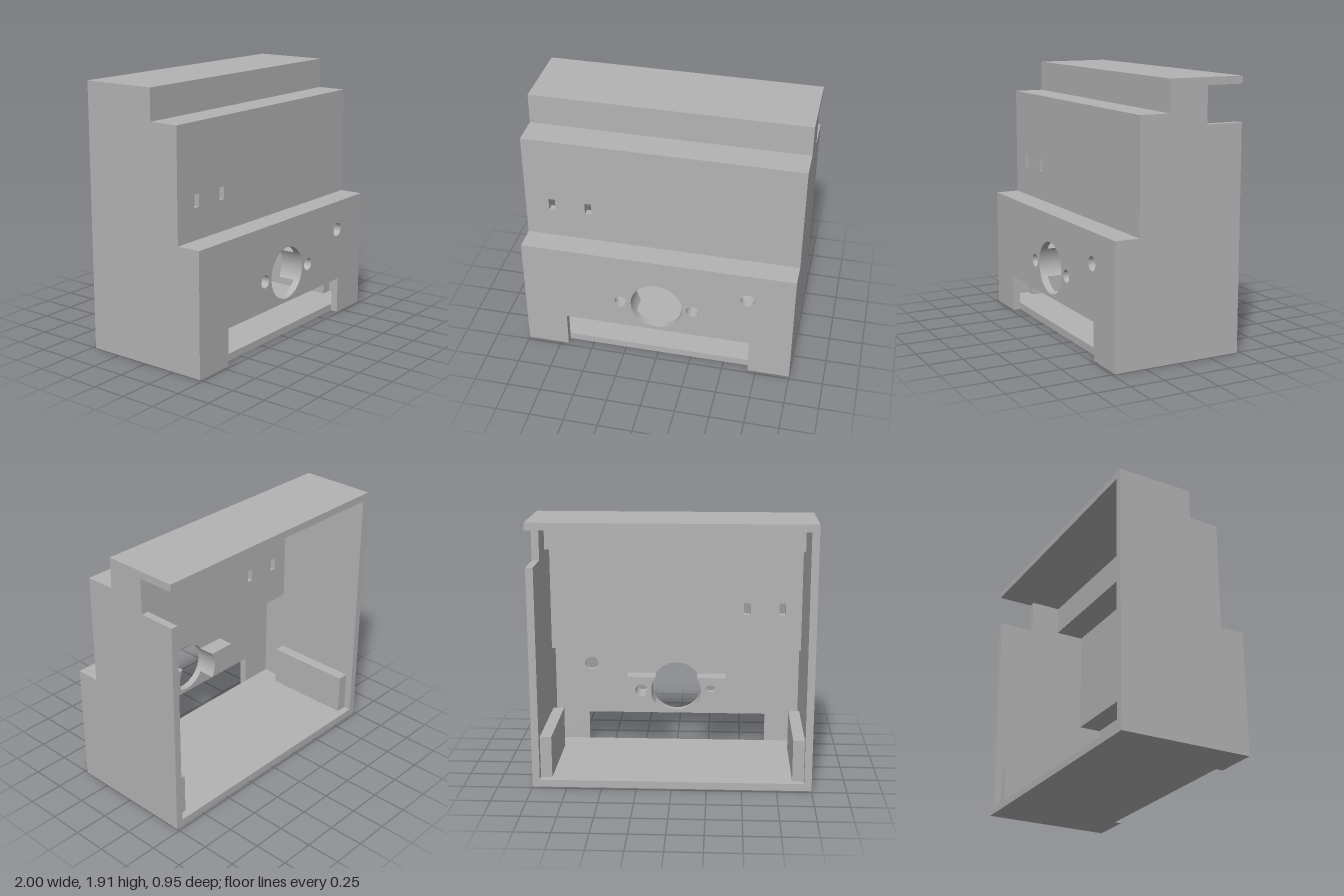
import * as THREE from 'three';

const T = 0.053;                 // wall thickness
const W = 1 - T;                 // inner half width
const BACK = -0.477, FRONT = 0.477, MID = 0.3, UPPER = 0.08;   // z of the stepped faces
const Y1 = 0.89, Y2 = 1.69, TOP = 1.913;                        // y of the steps

const poly = (pts, Type = THREE.Shape) => new Type(pts.map(([x, y]) => new THREE.Vector2(x, y)));
const rect = (x0, y0, x1, y1, Type) => poly([[x0, y0], [x1, y0], [x1, y1], [x0, y1]], Type);
const circle = (x, y, r) => new THREE.Path().absarc(x, y, r, 0, Math.PI * 2, true);

export function createModel() {
  const group = new THREE.Group();
  const grey = new THREE.MeshStandardMaterial({ color: 0xb3b3b3 });
  grey.name = 'grey plastic';

  const add = (name, geometry) => {
    const mesh = new THREE.Mesh(geometry, grey);
    mesh.name = name;
    group.add(mesh);
    return mesh;
  };
  const box = (name, x0, x1, y0, y1, z0, z1) =>
    add(name, new THREE.BoxGeometry(x1 - x0, y1 - y0, z1 - z0))
      .position.set((x0 + x1) / 2, (y0 + y1) / 2, (z0 + z1) / 2);
  // Outline in x and y, extruded from z0 to z1
  const plate = (name, shape, z0, z1) =>
    add(name, new THREE.ExtrudeGeometry(shape, { depth: z1 - z0, bevelEnabled: false, curveSegments: 48 }))
      .position.z = z0;
  // Outline in z and y, extruded across x from x0
  const side = (name, pts, x0) => {
    const shape = poly(pts.map(([z, y]) => [-z, y]));
    const g = new THREE.ExtrudeGeometry(shape, { depth: T, bevelEnabled: false });
    add(name, g.rotateY(Math.PI / 2)).position.x = x0;
  };

  // Stepped side walls; the left one has a cut-out under the roof
  const steps = [[BACK, 0], [FRONT, 0], [FRONT, Y1], [MID, Y1], [MID, Y2], [UPPER, Y2], [UPPER, TOP]];
  side('rightWall', [...steps, [BACK, TOP]], -1);
  side('leftWall', [...steps, [BACK, TOP], [BACK, TOP - T], [-0.205, TOP - T], [-0.205, 1.603], [BACK, 1.603]], W);

  // Lower front panel with bottom slot, bore and screw holes
  const lower = poly([[-W, 0], [-0.69, 0], [-0.69, 0.272], [0.69, 0.272], [0.69, 0], [W, 0], [W, Y1], [-W, Y1]]);
  lower.holes.push(circle(0, 0.492, 0.192), circle(0.665, 0.67, 0.051));
  for (const s of [-1, 1]) lower.holes.push(circle(s * 0.267, 0.492, 0.047));
  plate('lowerFrontPanel', lower, FRONT - T, FRONT);

  // Middle front panel with two small windows
  const middle = rect(-W, Y1 - T, W, Y2);
  for (const x of [-0.803, -0.536]) middle.holes.push(rect(x - 0.024, 1.113, x + 0.024, 1.203, THREE.Path));
  plate('middleFrontPanel', middle, MID - T, MID);

  // Remaining panels, ledges, floor and roof
  box('lowerLedge', -W, W, Y1 - T, Y1, MID, FRONT - T);
  box('upperLedge', -W, W, Y2 - T, Y2, UPPER, MID - T);
  box('upperFrontPanel', -W, W, Y2 - T, TOP, UPPER - T, UPPER);
  box('roof', -W, W, TOP - T, TOP, BACK, UPPER - T);
  box('floor', -W, W, 0, T, BACK, FRONT - T);

  // Screw blocks behind the panel, hollowed by the central bore, and ribs along the walls
  const a = Math.asin(0.105 / 0.192);
  for (const s of [-1, 1]) {
    const block = new THREE.Shape();
    block.moveTo(s * 0.38, 0.387);
    block.lineTo(s * 0.38, 0.597);
    if (s > 0) block.absarc(0, 0.492, 0.192, a, -a, true);
    else block.absarc(0, 0.492, 0.192, Math.PI - a, Math.PI + a, false);
    block.closePath();
    block.holes.push(circle(s * 0.267, 0.492, 0.047));
    plate(s > 0 ? 'leftScrewBlock' : 'rightScrewBlock', block, 0.297, FRONT - T);

    const x0 = s > 0 ? W - 0.083 : -W, x1 = x0 + 0.083;
    box(s > 0 ? 'leftRib' : 'rightRib', x0, x1, T, 0.36, BACK + T, 0.24);
  }
  return group;
}
